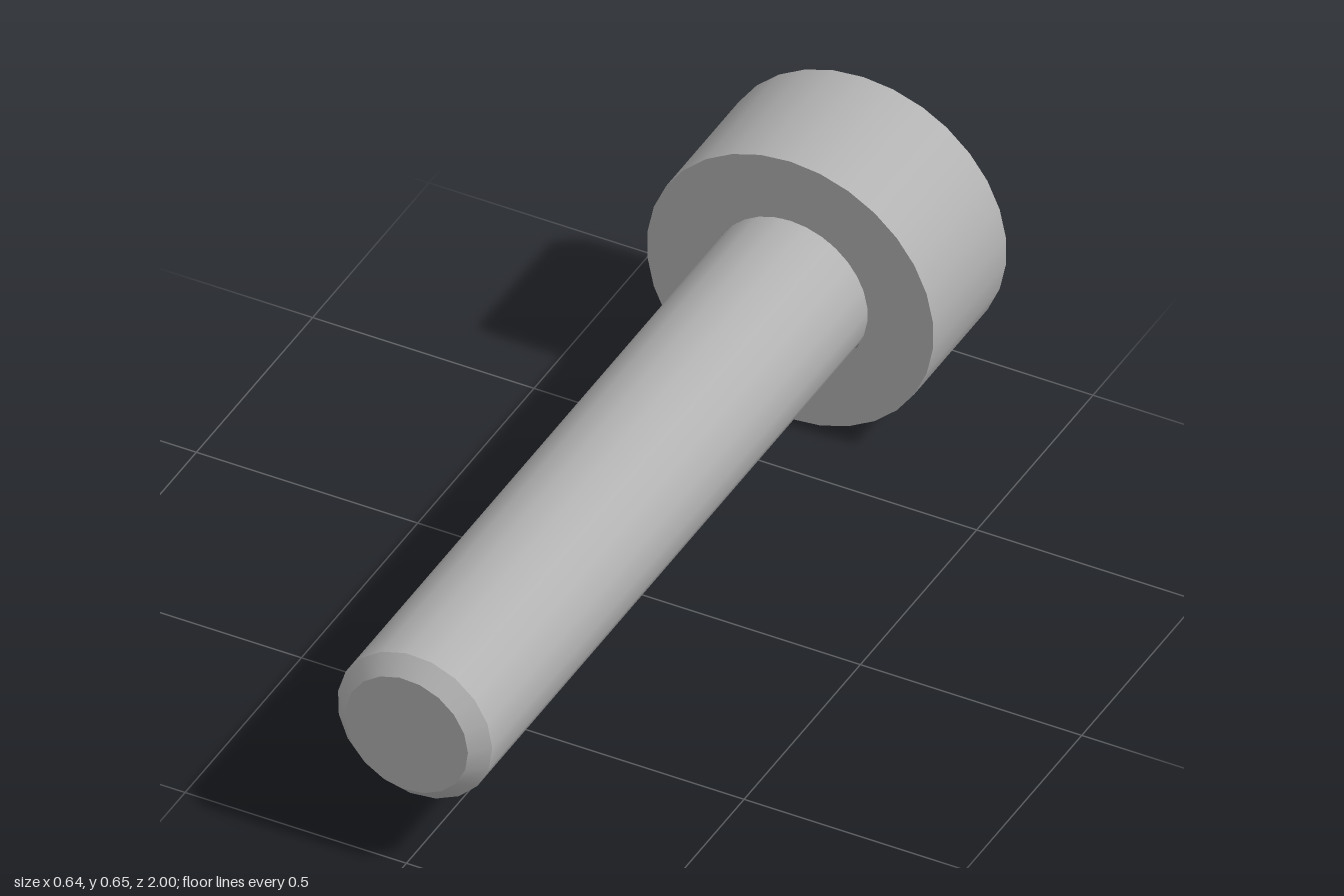
import * as THREE from 'three';
import { mergeGeometries } from 'three/addons/utils/BufferGeometryUtils.js';

const RAD = Math.PI / 180;
const HEAD_R = 0.324, HEAD_SIDES = 30, CHAMFER = 0.036;
const SHANK_R = 0.175, SHANK_SIDES = 19;
const HEX_R = 0.171, HEX_DEPTH = 0.19, HEX_ANGLE = 97;
const BACK = -1, SHOULDER = -0.65, TIP = 1;

// Revolves a [radius, z] profile about z; every band keeps its own normals, so edges stay crisp.
function turned(profile, sides, angle, faceted = false) {
  const bands = [];
  for (let i = 0; i < profile.length - 1; i++) {
    const pair = [profile[i], profile[i + 1]].map(([r, z]) => new THREE.Vector2(r, z));
    let band = new THREE.LatheGeometry(pair, sides, (angle + 90) * RAD);
    band.rotateX(Math.PI / 2);
    if (faceted) {
      band = band.toNonIndexed();
      band.computeVertexNormals();
    }
    bands.push(band);
  }
  return mergeGeometries(bands);
}

// Regular polygon whose first corner is at the given angle
function polygon(r, sides, angle) {
  return Array.from({ length: sides }, (_, i) => {
    const a = angle * RAD + (i / sides) * Math.PI * 2;
    return new THREE.Vector2(r * Math.cos(a), r * Math.sin(a));
  });
}

export function createModel() {
  const steel = new THREE.MeshStandardMaterial({ color: 0xb2b2b2 });
  steel.name = 'steelGrey';

  const model = new THREE.Group();
  model.name = 'socketScrew';
  const add = (name, geometry) => {
    const mesh = new THREE.Mesh(geometry, steel);
    mesh.name = name;
    mesh.position.y = HEAD_R;
    model.add(mesh);
  };

  // Head: chamfered rim, side wall and bearing face
  add('head', turned([
    [HEAD_R - CHAMFER, BACK], [HEAD_R, BACK + CHAMFER],
    [HEAD_R, SHOULDER], [SHANK_R, SHOULDER],
  ], HEAD_SIDES, 90));

  // Flat back of the head with the hexagonal opening
  const face = new THREE.Shape(polygon(HEAD_R - CHAMFER, HEAD_SIDES, 90));
  face.holes.push(new THREE.Path(polygon(HEX_R, 6, 180 - HEX_ANGLE).reverse()));
  add('headFace', new THREE.ShapeGeometry(face).rotateY(Math.PI).translate(0, 0, BACK));

  // Hexagonal socket: floor and inward-facing walls
  const floor = BACK + HEX_DEPTH;
  add('hexSocket', turned([[0, floor], [HEX_R, floor], [HEX_R, BACK]], 6, HEX_ANGLE, true));

  // Shank with chamfered tip, sunk slightly into the head
  add('shank', turned([
    [SHANK_R, SHOULDER - 0.02], [SHANK_R, TIP - CHAMFER],
    [SHANK_R - CHAMFER, TIP], [0, TIP],
  ], SHANK_SIDES, 96.3));

  return model;
}
